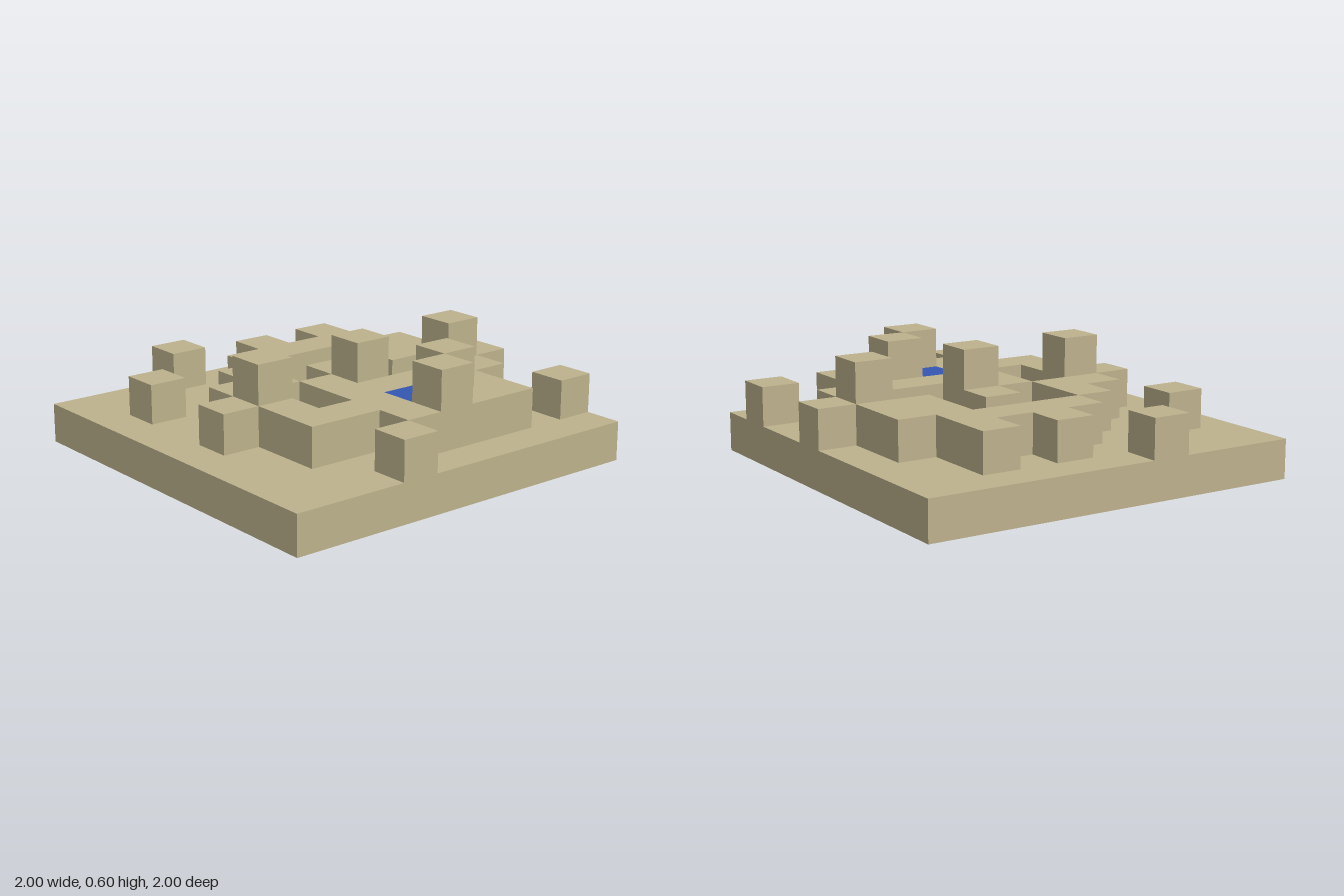
import * as THREE from 'three';
import { mergeGeometries } from 'three/addons/utils/BufferGeometryUtils.js';

const N = 10, S = 0.2;

// Colour plans, one text row per z step from back to front
// t sand, o ochre, r rust, b blue, . empty
const LAYERS = [
  { name: 'base', rows: [
    'tttttttttt', 'tttttttttt', 'tttttttttt', 'tttttorttt', 'ttttotbrtt',
    'tttoorrrtt', 'tttttotott', 'ttttortttt', 'tttttttttt', 'tttttttttt'] },
  { name: 'raisedBlocks', rows: [
    '...t......', '.....t.t..', '.t..tttt..', '...t...tt.', '..tt.t.tt.',
    '.tt.tt..tt', '..t.ttttt.', '..tttbtt..', '....tttt.t', '...t......'] },
  { name: 'upperBlocks', rows: [
    '..........', '..........', '..........', '..........', '..........',
    '..t..t..t.', '..........', '......t...', '.....t....', '..........'] },
];

const COLOURS = {
  t: ['sand', 0xbeb38e],
  o: ['ochre', 0xa5782b],
  r: ['rust', 0x91502e],
  b: ['blue', 0x3457b2],
};

const cell = (i, l, j) => LAYERS[l]?.rows[j]?.[i] ?? '.';

// Face directions with the turn that points a plane that way
const FACES = [
  [1, 0, 0, 0, Math.PI / 2], [-1, 0, 0, 0, -Math.PI / 2],
  [0, 1, 0, -Math.PI / 2, 0], [0, -1, 0, Math.PI / 2, 0],
  [0, 0, 1, 0, 0], [0, 0, -1, 0, Math.PI],
];

// Exposed faces of every block of one colour in one layer
function blockFaces(l, key) {
  const faces = [];
  for (let j = 0; j < N; j++) for (let i = 0; i < N; i++) {
    if (cell(i, l, j) !== key) continue;
    for (const [dx, dy, dz, rx, ry] of FACES) {
      if (cell(i + dx, l + dy, j + dz) !== '.') continue;
      const face = new THREE.PlaneGeometry(S, S).rotateX(rx).rotateY(ry);
      face.translate(
        (i + 0.5 + dx / 2) * S - 1,
        (l + 0.5 + dy / 2) * S,
        (j + 0.5 + dz / 2) * S - 1);
      faces.push(face);
    }
  }
  return faces.length ? mergeGeometries(faces) : null;
}

export function createModel() {
  const model = new THREE.Group();
  model.name = 'blockTerrain';

  const materials = {};
  for (const [key, [name, color]] of Object.entries(COLOURS)) {
    materials[key] = new THREE.MeshStandardMaterial({ color });
    materials[key].name = name;
  }

  // One group per layer, one mesh per colour
  LAYERS.forEach((layer, l) => {
    const group = new THREE.Group();
    group.name = layer.name;
    for (const key of Object.keys(COLOURS)) {
      const geometry = blockFaces(l, key);
      if (!geometry) continue;
      const mesh = new THREE.Mesh(geometry, materials[key]);
      mesh.name = `${COLOURS[key][0]}Blocks`;
      group.add(mesh);
    }
    model.add(group);
  });
  return model;
}
